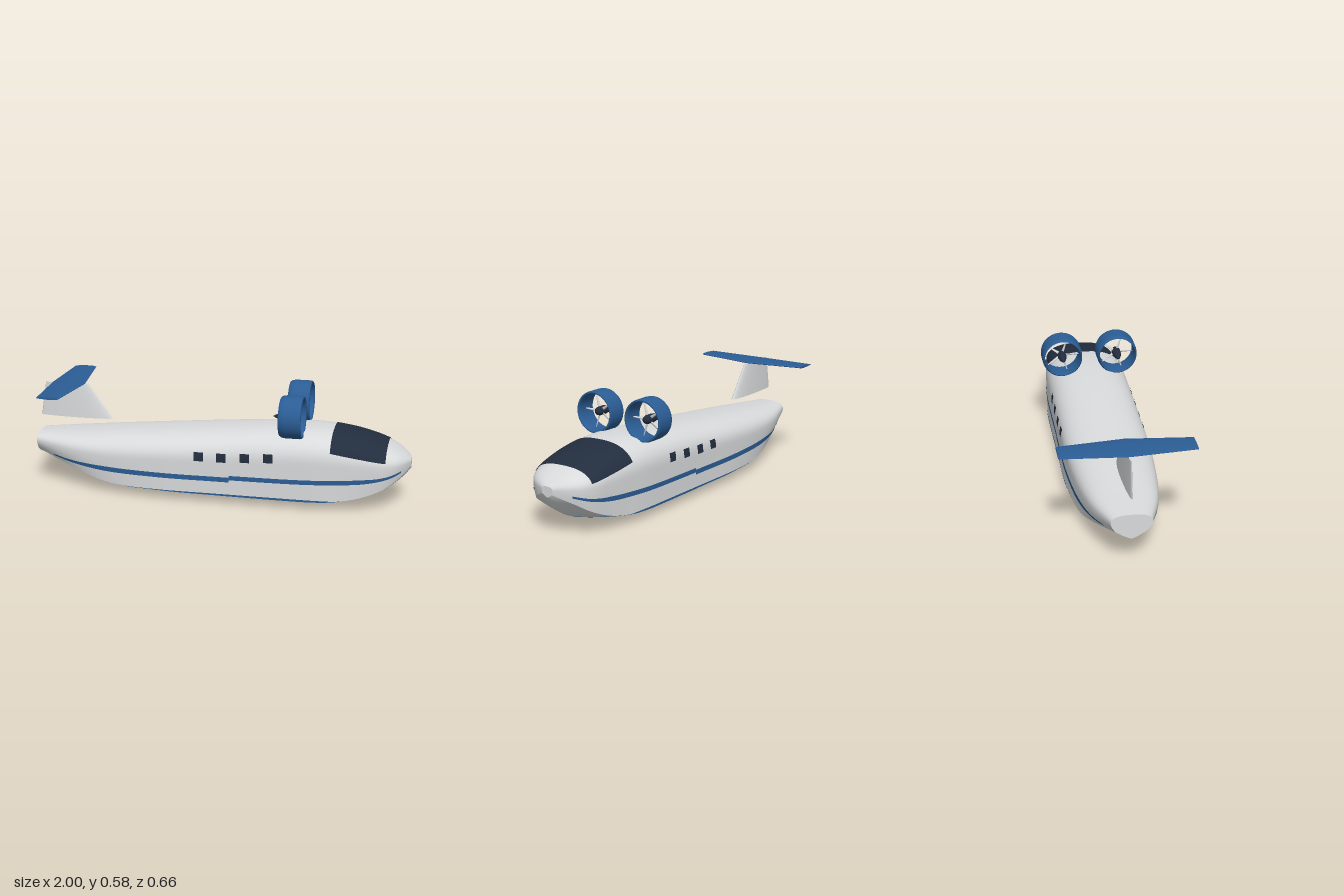
import * as THREE from 'three';

const mat = (name, color, side = THREE.FrontSide) => {
  const m = new THREE.MeshStandardMaterial({ color, side });
  m.name = name;
  return m;
};

// Hull stations: x, then top, chine height, keel, half width, chine width factor
const STATIONS = [
  [-1, 0.275, 0.185, 0.145, 0.1, 0.75],
  [-0.8, 0.291, 0.12, 0.092, 0.165, 0.85],
  [-0.6, 0.31, 0.065, 0.044, 0.198, 0.95],
  [-0.3, 0.337, 0.05, 0.016, 0.219, 1],
  [0, 0.365, 0.045, 0.005, 0.22, 1],
  [0.3, 0.389, 0.043, 0.003, 0.22, 1],
  [0.5, 0.395, 0.044, 0.004, 0.219, 1],
  [0.6, 0.389, 0.049, 0.01, 0.214, 1],
  [0.75, 0.364, 0.074, 0.033, 0.202, 0.97],
  [0.88, 0.322, 0.125, 0.08, 0.177, 0.93],
  [0.94, 0.292, 0.165, 0.126, 0.137, 0.9],
  [0.975, 0.27, 0.19, 0.162, 0.087, 0.9],
  [1, 0.25, 0.212, 0.195, 0.033, 0.9],
];
const spline = new THREE.CubicInterpolant(STATIONS.map((s) => s[0]), STATIONS.flatMap((s) => s.slice(1)), 5);
const N = 2.5;
const BELLY_CURVE = 1.3;

function station(x) {
  const [top, chine, keel, half, flare] = spline.evaluate(x);
  return { top, chine, keel, half, flare, mid: chine + 0.55 * (top - chine) };
}

// Half width of the hull side at a given height
function sideZ(x, y) {
  const s = station(x);
  if (y > s.mid) return s.half * Math.pow(Math.max(0, 1 - Math.pow((y - s.mid) / (s.top - s.mid), N)), 1 / N);
  const t = Math.max(0, (y - s.chine) / (s.mid - s.chine));
  return s.half * (s.flare + (1 - s.flare) * Math.sin(t * Math.PI / 2));
}

// Point on the rounded roof, angle 0 (left side) to PI (right side)
function roof(x, a, lift = 0) {
  const s = station(x), c = Math.cos(a);
  return [x,
    s.mid + (s.top - s.mid + lift) * Math.pow(Math.max(0, Math.sin(a)), 2 / N),
    Math.sign(c) * (s.half + lift) * Math.pow(Math.abs(c), 2 / N)];
}

// Chine to chine over the roof
function topside(x, v) {
  const w = v < 0.5 ? 2 * v : 2 - 2 * v, sign = v < 0.5 ? 1 : -1;
  if (w < 0.3) {
    const s = station(x), y = THREE.MathUtils.lerp(s.chine, s.mid, w / 0.3);
    return [x, y, sign * sideZ(x, y)];
  }
  const a = (w - 0.3) / 0.7 * Math.PI / 2;
  return roof(x, sign > 0 ? a : Math.PI - a);
}

// Chine to chine under the keel
function bottom(x, v, limit = 1, drop = 0) {
  const s = station(x), k = (2 * v - 1) * limit;
  return [x, s.keel + (s.chine - s.keel) * Math.pow(Math.abs(k), BELLY_CURVE) - drop, s.half * s.flare * k];
}

// Smooth grid surface from f(u, v)
function patch(name, material, f, nu, nv) {
  const pos = [], index = [];
  for (let i = 0; i <= nu; i++) for (let j = 0; j <= nv; j++) pos.push(...f(i / nu, j / nv));
  for (let i = 0; i < nu; i++) for (let j = 0; j < nv; j++) {
    const a = i * (nv + 1) + j, b = a + nv + 1;
    index.push(a, b, a + 1, b, b + 1, a + 1);
  }
  const g = new THREE.BufferGeometry();
  g.setAttribute('position', new THREE.Float32BufferAttribute(pos, 3));
  g.setIndex(index);
  g.computeVertexNormals();
  const mesh = new THREE.Mesh(g, material);
  mesh.name = name;
  return mesh;
}
const mix = (a, b, t) => a.map((p, i) => p + (b[i] - p) * t);

// Closed foil surface with end caps; ring(angle, v), centre(v)
function foil(name, material, ring, centre) {
  const group = new THREE.Group(), T = 2 * Math.PI;
  group.name = name;
  group.add(
    patch(name + 'Skin', material, (u, v) => ring(u * T, v), 32, 8),
    patch(name + 'StartCap', material, (u, v) => mix(centre(0), ring(u * T, 0), v), 32, 1),
    patch(name + 'EndCap', material, (u, v) => mix(ring(u * T, 1), centre(1), v), 32, 1));
  return group;
}
const foilX = (back, front, a) => (back + front) / 2 + (front - back) / 2 * Math.cos(a);
const foilT = (t, a) => t * Math.sin(a) * (1 + 0.3 * Math.cos(a));

export function createModel() {
  const model = new THREE.Group();
  model.name = 'flyingBoat';
  const white = mat('hullGrey', 0xd8dadb);
  const blue = mat('trimBlue', 0x2b5d95, THREE.DoubleSide);
  const dark = mat('darkGlass', 0x222d3e, THREE.DoubleSide);
  const lerp = THREE.MathUtils.lerp;

  // Hull skin and blunt ends
  const hullX = (u) => -Math.cos(u * Math.PI);
  model.add(patch('hullTopside', white, (u, v) => topside(hullX(u), v), 90, 72));
  model.add(patch('hullBottom', white, (u, v) => bottom(hullX(u), v), 90, 32));
  for (const [label, f] of [['Upper', topside], ['Lower', bottom]]) {
    model.add(patch('noseCap' + label, white, (u, v) => mix(f(1, v), [1, 0.225, 0], u), 1, 40));
    model.add(patch('tailCap' + label, white, (u, v) => mix([-1, 0.21, 0], f(-1, v), u), 1, 40));
  }

  // Painted belly
  const PAINT = 0.053;
  model.add(patch('bellyPaint', blue, (u, v) => {
    const x = lerp(-0.67, 0.81, u), s = station(x);
    const k = Math.max(0, (PAINT - s.keel) / (s.chine - s.keel));
    return bottom(x, v, Math.min(1, Math.pow(k, 1 / BELLY_CURVE)), 0.002);
  }, 80, 32));

  // Plate that follows the hull side between two height curves
  const sidePlate = (name, material, x0, x1, low, high, sign, n = 50) =>
    model.add(patch(name, material, (u, v) => {
      const x = lerp(x0, x1, u), y = lerp(low(x), high(x), sign > 0 ? v : 1 - v);
      return [x, y, sign * (sideZ(x, y) + 0.0025)];
    }, n, 4));

  const curve = (pts) => {
    const c = new THREE.CubicInterpolant(pts.map((p) => p[0]), pts.map((p) => p[1]), 1);
    return (x) => c.evaluate(x)[0];
  };
  const aft = curve([[-0.9, 0.17], [-0.8, 0.155], [-0.6, 0.139], [-0.3, 0.133], [0.08, 0.133]]);
  const fore = curve([[0.08, 0.144], [0.4, 0.147], [0.6, 0.154], [0.8, 0.169], [0.9, 0.187], [0.955, 0.205]]);

  for (const sign of [1, -1]) {
    const side = sign > 0 ? 'Left' : 'Right';
    sidePlate('waterlinePaint' + side, blue, -0.4, 0.62,
      (x) => station(x).chine - 0.001, (x) => Math.max(station(x).chine, PAINT), sign);
    const taper = (x) => 0.004 + 0.009 * Math.min(1, (x + 0.9) / 0.3);
    sidePlate('aftStripe' + side, blue, -0.9, 0.08, (x) => aft(x) - taper(x), (x) => aft(x) + taper(x), sign);
    const noseTaper = (x) => 0.005 + 0.007 * Math.min(1, (0.955 - x) / 0.2);
    sidePlate('foreStripe' + side, blue, 0.08, 0.955,
      (x) => fore(x) - noseTaper(x), (x) => fore(x) + noseTaper(x), sign, 70);
    // Cabin windows
    [[-0.08, 0.248], [0.04, 0.249], [0.163, 0.256], [0.285, 0.263]].forEach(([x, y], i) =>
      sidePlate('cabinWindow' + side + (i + 1), dark, x - 0.025, x + 0.025, () => y - 0.023, () => y + 0.023, sign, 3));
  }

  // Windscreen wrapped over the roof
  model.add(patch('windscreen', dark, (u, v) => {
    const x = lerp(0.6, 0.88, u), s = station(x);
    const a = Math.asin(Math.pow((lerp(0.306, 0.262, u) - s.mid) / (s.top - s.mid), N / 2));
    return roof(x, lerp(a, Math.PI - a, v), 0.003);
  }, 24, 60));

  // Tail fin and tailplane
  model.add(foil('tailFin', white,
    (a, v) => [foilX(lerp(-1, -0.97, v), lerp(-0.6, -0.73, v), a), lerp(0.355, 0.54, v), -foilT(lerp(0.02, 0.012, v), a)],
    (v) => [lerp(-0.8, -0.85, v), lerp(0.355, 0.54, v), 0]));
  model.add(foil('tailplane', blue, (a, v) => {
    const k = Math.abs(2 * v - 1);
    return [foilX(lerp(-0.93, -0.91, k), lerp(-0.75, -0.79, k), a),
      lerp(0.541, 0.545, k) + foilT(lerp(0.008, 0.006, k), a), lerp(-0.328, 0.328, v)];
  }, (v) => [-0.85, 0.545, lerp(-0.328, 0.328, v)]));

  // Ducted propellers
  const lathe = (pts, seg) => new THREE.LatheGeometry(pts.map(([r, y]) => new THREE.Vector2(r, y)), seg);
  const ductGeo = lathe([[0.1, -0.06], [0.107, -0.05], [0.11, -0.03], [0.11, 0.045], [0.108, 0.054], [0.103, 0.058],
    [0.097, 0.052], [0.094, 0.035], [0.094, -0.02], [0.097, -0.05], [0.1, -0.06]], 56);
  const hubGeo = lathe([[0, -0.1], [0.009, -0.085], [0.019, -0.055], [0.023, -0.025], [0.023, 0.01], [0.018, 0.025],
    [0.01, 0.032], [0, 0.035]], 24);
  const bladeGeo = new THREE.CylinderGeometry(0.003, 0.008, 0.075, 8);
  bladeGeo.scale(0.5, 1, 1).rotateY(0.4).translate(0, 0.056, 0);
  for (const sign of [1, -1]) {
    const engine = new THREE.Group();
    engine.name = sign > 0 ? 'leftEngine' : 'rightEngine';
    engine.position.set(0.398, 0.473, sign * 0.151);
    for (const [name, geo, material] of [['duct', ductGeo, blue], ['hub', hubGeo, dark]]) {
      const mesh = new THREE.Mesh(geo, material);
      mesh.name = name;
      mesh.rotation.z = -Math.PI / 2;
      engine.add(mesh);
    }
    for (let i = 0; i < 5; i++) {
      const blade = new THREE.Mesh(bladeGeo, white);
      blade.name = 'blade' + (i + 1);
      blade.rotation.x = Math.PI / 2 + i * 2 * Math.PI / 5;
      engine.add(blade);
    }
    model.add(engine);
  }
  return model;
}
